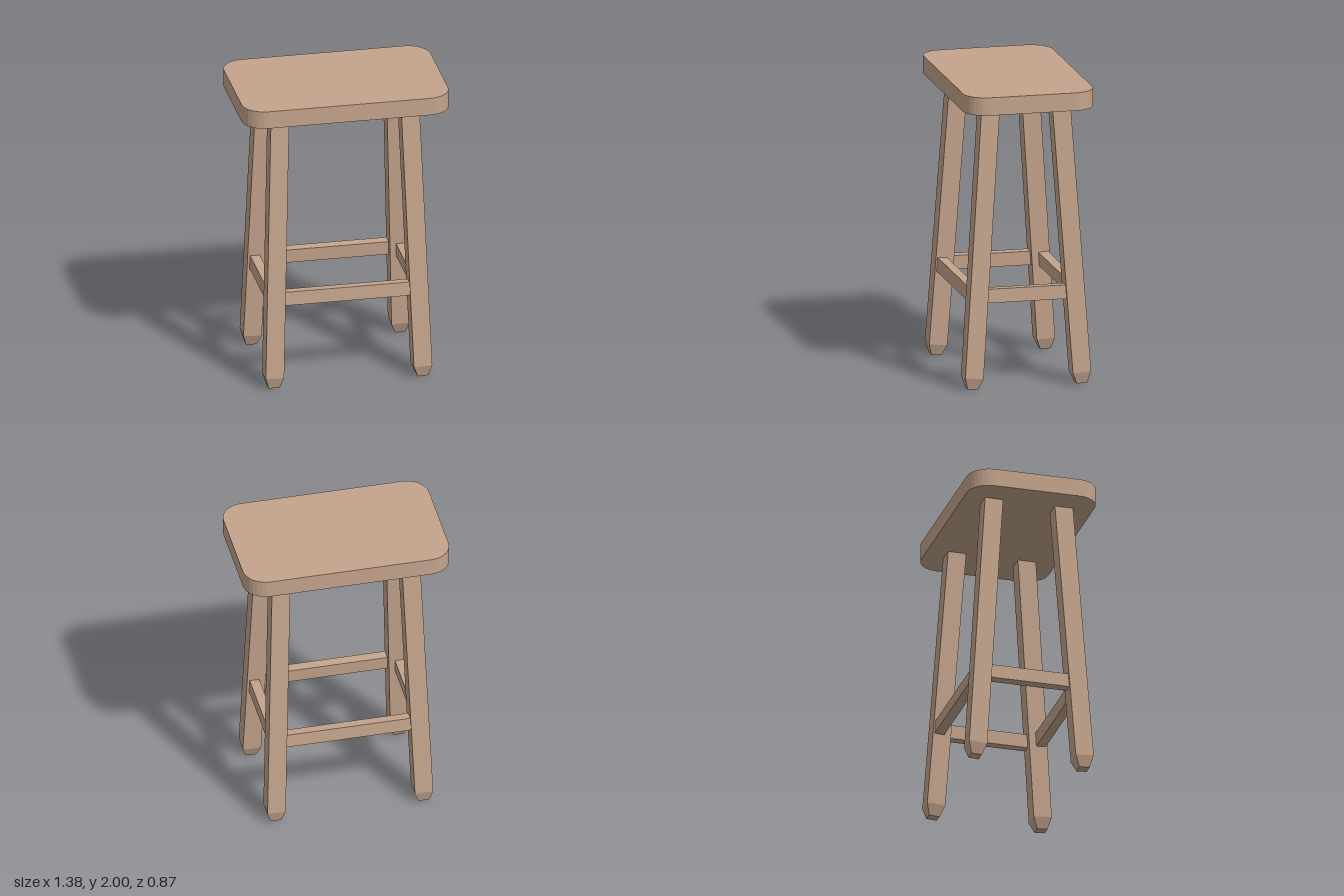
import * as THREE from 'three';

const SLOPE_X = 0.0333, SLOPE_Z = 0.0694; // outward splay of the legs per unit of height
const legX = (y) => 0.4975 - SLOPE_X * y;
const legZ = (y) => 0.368 - SLOPE_Z * y;

// Rounded slab with stepped corners
function makeSeat(material) {
  const w = 0.69, d = 0.435, r = 0.15;
  const shape = new THREE.Shape();
  shape.absarc(w - r, d - r, r, 0, Math.PI / 2);
  shape.absarc(r - w, d - r, r, Math.PI / 2, Math.PI);
  shape.absarc(r - w, r - d, r, Math.PI, Math.PI * 1.5);
  shape.absarc(w - r, r - d, r, Math.PI * 1.5, Math.PI * 2);
  shape.closePath();
  const geometry = new THREE.ExtrudeGeometry(shape, { depth: 0.12, bevelEnabled: false, curveSegments: 4 });
  geometry.rotateX(-Math.PI / 2).translate(0, 1.88, 0);
  const seat = new THREE.Mesh(geometry, material);
  seat.name = 'seat';
  return seat;
}

// Square post, splayed on both axes, with a tapered foot
function makeLeg(sx, sz, material) {
  const geometry = new THREE.BoxGeometry(1, 2, 1, 1, 2, 1);
  const p = geometry.attributes.position;
  const rings = [{ y: 0.004, w: 0.07 }, { y: 0.08, w: 0.122 }, { y: 1.9, w: 0.122 }];
  for (let i = 0; i < p.count; i++) {
    const { y, w } = rings[Math.round(p.getY(i)) + 1];
    const dx = p.getX(i) * w, dz = p.getZ(i) * w;
    // each ring stays square to the leaning axis
    p.setXYZ(i, sx * legX(y) + dx, y + sx * dx * SLOPE_X + sz * dz * SLOPE_Z, sz * legZ(y) + dz);
  }
  geometry.computeVertexNormals();
  const leg = new THREE.Mesh(geometry, material);
  leg.name = (sz > 0 ? 'front' : 'back') + (sx > 0 ? 'Left' : 'Right') + 'Leg';
  return leg;
}

export function createModel() {
  const group = new THREE.Group();
  group.name = 'stool';
  const wood = new THREE.MeshStandardMaterial({ color: 0xc4a48c, flatShading: true });

  group.add(makeSeat(wood));
  for (const sx of [1, -1]) for (const sz of [1, -1]) group.add(makeLeg(sx, sz, wood));

  // Footrails lean with the legs and end inside them
  const railY = 0.622, railX = legX(railY), railZ = legZ(railY);
  for (const s of [1, -1]) {
    const long = new THREE.Mesh(new THREE.BoxGeometry(railX * 2, 0.093, 0.065), wood);
    long.position.set(0, railY, s * (railZ + 0.018));
    long.rotation.x = -s * Math.atan(SLOPE_Z);
    long.name = s > 0 ? 'frontRail' : 'backRail';

    const short = new THREE.Mesh(new THREE.BoxGeometry(0.065, 0.093, railZ * 2), wood);
    short.position.set(s * (railX + 0.012), railY, 0);
    short.rotation.z = s * Math.atan(SLOPE_X);
    short.name = s > 0 ? 'leftRail' : 'rightRail';
    group.add(long, short);
  }
  return group;
}
